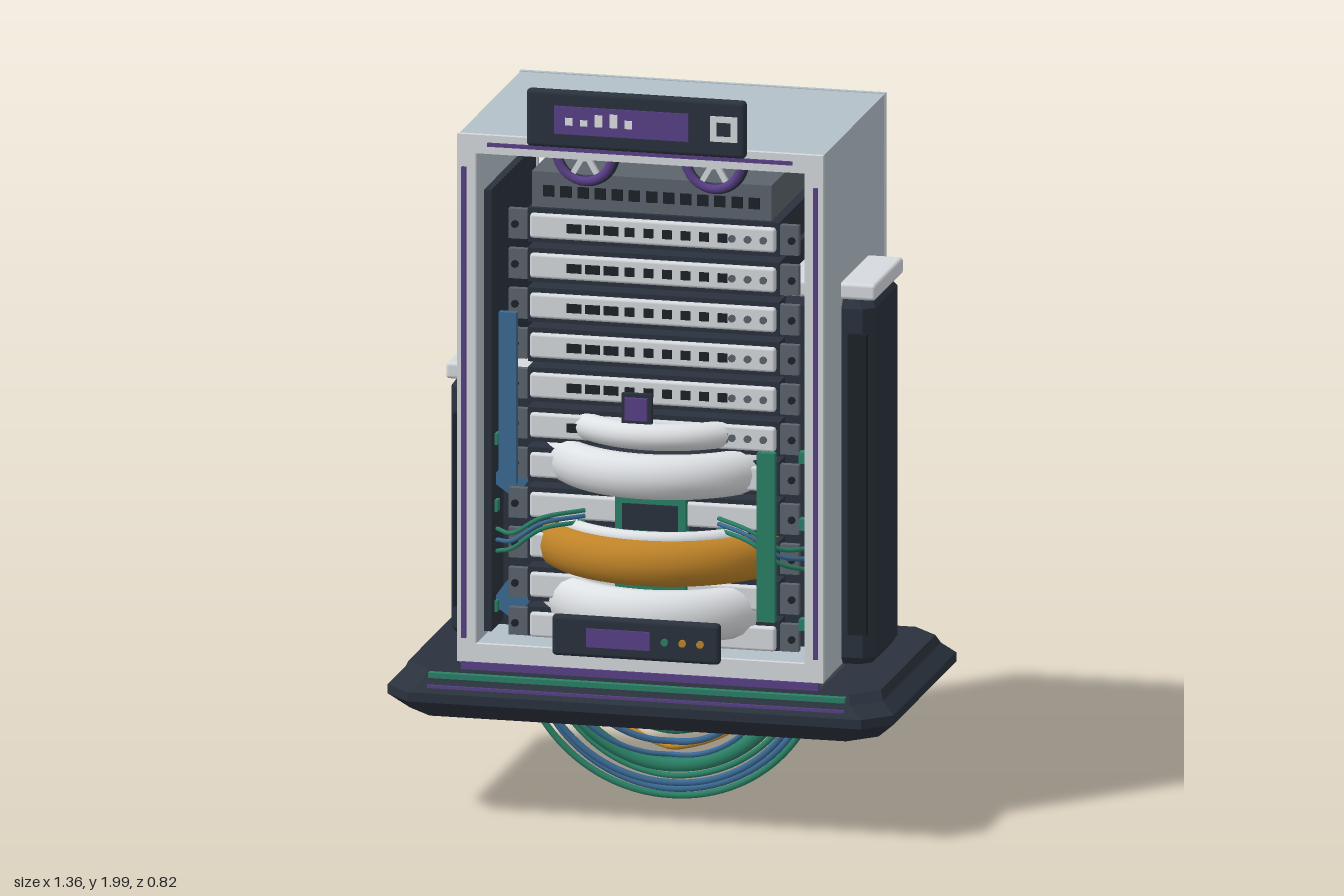
import * as THREE from 'three';
import { RoundedBoxGeometry } from 'three/addons/geometries/RoundedBoxGeometry.js';

const C = {
  shell: 0xb4c0c8, light: 0xd6dade, dark: 0x2a323d, black: 0x1c2229, grey: 0x5c646c,
  purple: 0x5a4088, teal: 0x2a8066, blue: 0x3a6a94, orange: 0xc08428, white: 0xdfe2e5,
};
const mats = {};
const mat = (c) => (mats[c] ??= new THREE.MeshStandardMaterial({ color: C[c] }));

export function createModel() {
  const root = new THREE.Group();
  let parent = root;

  const add = (name, geo, color, x = 0, y = 0, z = 0) => {
    const m = new THREE.Mesh(geo, mat(color));
    m.name = name;
    m.position.set(x, y, z);
    parent.add(m);
    return m;
  };
  const group = (name, build) => {
    const g = new THREE.Group();
    g.name = name;
    root.add(g);
    parent = g;
    build(g);
    parent = root;
  };
  // Box given by its limits on each axis
  const box = (name, color, x0, x1, y0, y1, z0, z1, r = 0) => {
    const d = [x1 - x0, y1 - y0, z1 - z0];
    const geo = r ? new RoundedBoxGeometry(...d, 2, r) : new THREE.BoxGeometry(...d);
    return add(name, geo, color, (x0 + x1) / 2, (y0 + y1) / 2, (z0 + z1) / 2);
  };
  const tube = (name, color, pts, r, seg = 32) =>
    add(name, new THREE.TubeGeometry(
      new THREE.CatmullRomCurve3(pts.map((p) => new THREE.Vector3(...p))), seg, r, 7), color);

  // Loft of chamfered rectangles; each level is [y, halfX, halfZ]
  const octLoft = (levels, c) => {
    const rings = levels.map(([y, a, b]) => [
      [a, y, b - c], [a, y, c - b], [a - c, y, -b], [c - a, y, -b],
      [-a, y, c - b], [-a, y, b - c], [c - a, y, b], [a - c, y, b]]);
    const v = [];
    const tri = (...p) => p.forEach((q) => v.push(...q));
    for (let k = 0; k < rings.length - 1; k++) {
      for (let i = 0; i < 8; i++) {
        const j = (i + 1) % 8, [p, q] = [rings[k], rings[k + 1]];
        tri(p[i], p[j], q[j], p[i], q[j], q[i]);
      }
    }
    const bottom = rings[0], top = rings.at(-1);
    for (let i = 1; i < 7; i++) {
      tri(top[0], top[i], top[i + 1]);
      tri(bottom[0], bottom[i + 1], bottom[i]);
    }
    const g = new THREE.BufferGeometry();
    g.setAttribute('position', new THREE.Float32BufferAttribute(v, 3));
    g.computeVertexNormals();
    return g;
  };
  // Rectangular frame, open front to back
  const frame = (x, y0, y1, t, depth) => {
    const rect = (P, a, b, c) => new P().moveTo(-a, b).lineTo(a, b).lineTo(a, c).lineTo(-a, c).closePath();
    const s = rect(THREE.Shape, x, y0, y1);
    s.holes.push(rect(THREE.Path, x - t, y0 + t, y1 - t));
    return new THREE.ExtrudeGeometry(s, { depth, bevelEnabled: false });
  };

  // Stepped base with bevelled rim and trim strips
  group('base', () => {
    add('basePlate', octLoft([[0.29, 0.63, 0.37], [0.335, 0.68, 0.41], [0.36, 0.68, 0.41],
      [0.39, 0.645, 0.385], [0.415, 0.635, 0.365]], 0.07), 'dark');
    box('undersidePanel', 'black', -0.5, 0.5, 0.284, 0.3, -0.27, 0.27);
    box('plinth', 'grey', -0.48, 0.48, 0.41, 0.445, -0.33, 0.335);
    box('tealStrip', 'teal', -0.56, 0.56, 0.396, 0.41, 0.36, 0.388);
    box('purpleStrip', 'purple', -0.48, 0.48, 0.416, 0.436, 0.33, 0.352);
    box('lowerPurpleStrip', 'purple', -0.56, 0.56, 0.37, 0.38, 0.375, 0.4);
  });

  // Open cabinet shell with light front and rear lips
  group('cabinet', () => {
    add('shell', frame(0.49, 0.435, 1.855, 0.042, 0.67), 'shell', 0, 0, -0.33);
    add('frontLip', frame(0.492, 0.435, 1.857, 0.05, 0.014), 'light', 0, 0, 0.332);
    add('rearLip', frame(0.492, 0.435, 1.857, 0.05, 0.014), 'shell', 0, 0, -0.343);
    box('topTrim', 'purple', -0.41, 0.41, 1.828, 1.838, 0.34, 0.352);
    for (const s of [-1, 1]) {
      box('sideTrim', 'purple', s * 0.473 - 0.006, s * 0.473 + 0.006, 0.5, 1.77, 0.34, 0.354);
      box('innerSidePanel', 'dark', s * 0.44 - 0.012, s * 0.44 + 0.012, 0.49, 1.68, -0.25, 0.23);
      for (const y of [0.55, 0.82, 1.0])
        box('sideConnector', 'teal', s * 0.45 - 0.06, s * 0.45 + 0.03, y - 0.015, y + 0.015, 0.17, 0.2);
    }
  });

  // Side towers pass through the cabinet walls
  for (const [s, top, z, hz] of [[1, 1.42, -0.008, 0.148], [-1, 1.13, -0.025, 0.125]]) {
    group(s > 0 ? 'leftTower' : 'rightTower', () => {
      add('towerBody', octLoft([[0.435, 0.145, hz - 0.015], [0.455, 0.157, hz], [top - 0.025, 0.157, hz],
        [top, 0.14, hz - 0.02]], 0.028), 'dark', s * 0.418, 0, z);
      box('towerCap', 'light', s * 0.418 - 0.165, s * 0.418 + 0.165, top, top + 0.045,
        z - hz - 0.006, z + hz + 0.006, 0.01);
      box('towerFrontPanel', 'black', s * 0.535 - 0.025, s * 0.535 + 0.025, 0.52, top - 0.09,
        z + hz - 0.005, z + hz + 0.015);
    });
  }

  // Stack of rack units
  group('rackUnits', () => {
    box('portPanel', 'grey', -0.322, 0.322, 1.64, 1.735, -0.2, 0.22);
    for (let i = 0; i < 13; i++) {
      const x = -0.276 + i * 0.046;
      box('panelPort', 'black', x - 0.015, x + 0.015, 1.67, 1.7, 0.21, 0.224);
    }
    for (let n = 0; n < 11; n++) {
      const y = 1.585 - n * 0.1075;
      box('unitChassis', 'dark', -0.338, 0.338, y - 0.046, y + 0.046, -0.2, 0.2);
      box('unitFace', 'light', -0.33, 0.33, y - 0.033, y + 0.033, 0.19, 0.215, 0.008);
      for (const s of [-1, 1]) {
        box('unitEar', 'grey', s * 0.365 - 0.025, s * 0.365 + 0.025, y - 0.04, y + 0.04, 0.18, 0.2);
        const screw = add('earScrew', new THREE.CylinderGeometry(0.01, 0.01, 0.012, 8), 'black', s * 0.372, y, 0.202);
        screw.rotation.x = Math.PI / 2;
      }
      if (n > 5) continue;
      for (let i = 0; i < 9; i++) {
        const x = -0.21 + i * 0.05, w = i < 3 ? 0.02 : 0.013;
        box('unitSlot', 'black', x - w, x + w, y - 0.012, y + 0.012, 0.21, 0.219);
      }
      for (let i = 0; i < 3; i++) {
        const led = add('unitLight', new THREE.CylinderGeometry(0.01, 0.01, 0.01, 10), 'grey', 0.215 + i * 0.042, y, 0.216);
        led.rotation.x = Math.PI / 2;
      }
    }
    box('centreModule', 'teal', -0.095, 0.095, 0.5, 0.89, 0.2, 0.235);
    box('centreModuleFace', 'dark', -0.075, 0.075, 0.79, 0.86, 0.23, 0.24);
  });

  // Thick ring bundles wrapped through the stack: [y, outer radius, half height, colour]
  group('ringBundles', () => {
    for (const [y, R, h, color] of [[1.05, 0.3, 0.036, 'white'], [0.95, 0.345, 0.06, 'white'],
      [0.725, 0.37, 0.062, 'orange'], [0.785, 0.325, 0.02, 'white'], [0.575, 0.345, 0.07, 'white']]) {
      const t = Math.min(h, 0.05);
      const ring = add('ringBundle', new THREE.TorusGeometry(R - t, t, 14, 72), color, 0, y, 0);
      ring.geometry.rotateX(Math.PI / 2).scale(1, h / t, 1);
    }
  });

  // Spoked fans set through the roof
  for (const x of [-0.175, 0.172]) {
    group('roofFan', (g) => {
      g.position.set(x, 1.797, 0.235);
      add('fanRing', new THREE.TorusGeometry(0.078, 0.014, 8, 32), 'dark', 0, 0, -0.008);
      add('fanInnerRing', new THREE.TorusGeometry(0.074, 0.012, 8, 32), 'purple', 0, 0, 0.009);
      for (let i = 0; i < 6; i++) {
        const spoke = add('fanSpoke', new THREE.BoxGeometry(0.014, 0.074, 0.012).translate(0, 0.037, 0), 'light');
        spoke.rotation.z = i * Math.PI / 3 + Math.PI / 6;
      }
      add('fanHub', new THREE.CylinderGeometry(0.02, 0.02, 0.03, 12).rotateX(Math.PI / 2), 'light');
    });
  }

  // Header display above the roof edge
  group('headerDisplay', () => {
    box('displayCase', 'dark', -0.297, 0.293, 1.845, 2.0, 0.358, 0.388, 0.012);
    box('displayScreen', 'purple', -0.22, 0.14, 1.885, 1.96, 0.38, 0.392);
    [0.02, 0.016, 0.032, 0.036, 0.022].forEach((h, i) =>
      box('displayBar', 'white', -0.19 + i * 0.04, -0.17 + i * 0.04, 1.91, 1.91 + h, 0.388, 0.395));
    box('displayButton', 'light', 0.2, 0.272, 1.89, 1.958, 0.38, 0.392);
    box('buttonCentre', 'dark', 0.217, 0.255, 1.906, 1.942, 0.386, 0.395);
  });

  // Small parts mounted across the front opening
  group('frontFittings', () => {
    box('controlCase', 'dark', -0.23, 0.222, 0.475, 0.585, 0.352, 0.382, 0.012);
    box('controlScreen', 'purple', -0.135, 0.035, 0.505, 0.555, 0.375, 0.387);
    ['teal', 'orange', 'orange'].forEach((c, i) =>
      add('controlLight', new THREE.CylinderGeometry(0.01, 0.01, 0.014, 10).rotateX(Math.PI / 2), c,
        0.075 + i * 0.048, 0.53, 0.382));
    box('blueBar', 'blue', -0.372, -0.325, 0.93, 1.392, 0.36, 0.38);
    box('greenBar', 'teal', 0.322, 0.37, 0.6, 1.055, 0.36, 0.38);
    box('badgeFrame', 'dark', -0.04, 0.04, 1.115, 1.195, 0.37, 0.385);
    box('badge', 'purple', -0.03, 0.03, 1.125, 1.185, 0.38, 0.395);
    for (const s of [-1, 1]) for (let i = 0; i < 3; i++)
      tube('frontCable', i === 1 ? 'blue' : 'teal', [[s * 0.42, 0.7 + i * 0.03, 0.2],
        [s * 0.36, 0.73 + i * 0.02, 0.27], [s * 0.28, 0.79 + i * 0.015, 0.29], [s * 0.18, 0.8 + i * 0.015, 0.22]], 0.006);
    for (const y of [0.56, 0.89])
      box('blueClip', 'blue', -0.43, -0.35, y - 0.035, y + 0.035, 0.13, 0.18).rotation.z = -0.6;
  });

  // Rear spine with hanging cables
  group('rearCabling', () => {
    box('rearSpine', 'purple', -0.025, 0.025, 0.95, 1.71, -0.225, -0.195, 0.01);
    for (let i = 0; i < 8; i++) {
      const f = i / 7;
      tube('rearCable', ['blue', 'purple', 'teal', 'dark'][i % 4], [[0.03 - f * 0.06, 1.66 - f * 0.25, -0.22],
        [-0.03 - f * 0.05, 1.37, -0.325], [-0.06 - f * 0.13, 1.17, -0.365 + f * 0.02],
        [-0.1 - f * 0.14, 0.95, -0.33], [-0.17 - f * 0.14, 0.65 + f * 0.05, -0.2]], 0.0065);
    }
    for (const x of [0.3, 0.05])
      box('floorClip', 'orange', x - 0.03, x + 0.03, 0.475, 0.49, -0.29, -0.26);
  });

  // Cable loops slung below the base: [radius, tube radius, spread at the ends, colour]
  group('hangingLoops', () => {
    [[0.412, 0.009, 0.01, 'teal'], [0.395, 0.009, -0.01, 'blue'], [0.378, 0.009, 0.015, 'blue'],
      [0.36, 0.008, -0.02, 'teal'], [0.33, 0.02, 0, 'teal'], [0.3, 0.007, 0.07, 'blue'],
      [0.285, 0.007, -0.1, 'orange'], [0.265, 0.009, 0.05, 'blue'], [0.235, 0.013, -0.02, 'teal'],
      [0.205, 0.007, -0.08, 'teal'], [0.185, 0.007, 0.09, 'blue']].forEach(([R, r, spread, color]) => {
      const pts = [];
      for (let i = 0; i <= 16; i++) {
        const a = Math.PI * (0.08 + 0.84 * i / 16);
        pts.push([R * Math.cos(a), 0.43 - R * Math.sin(a), spread * (1.3 * Math.abs(Math.cos(a)) + 0.1)]);
      }
      tube('hangingLoop', color, pts, r, 48);
    });
    for (const s of [-1, 1])
      box('looseClamp', 'orange', s * 0.08 - 0.035, s * 0.08 + 0.035, 0.255, 0.29, -0.075, 0.075);
  });

  return root;
}
